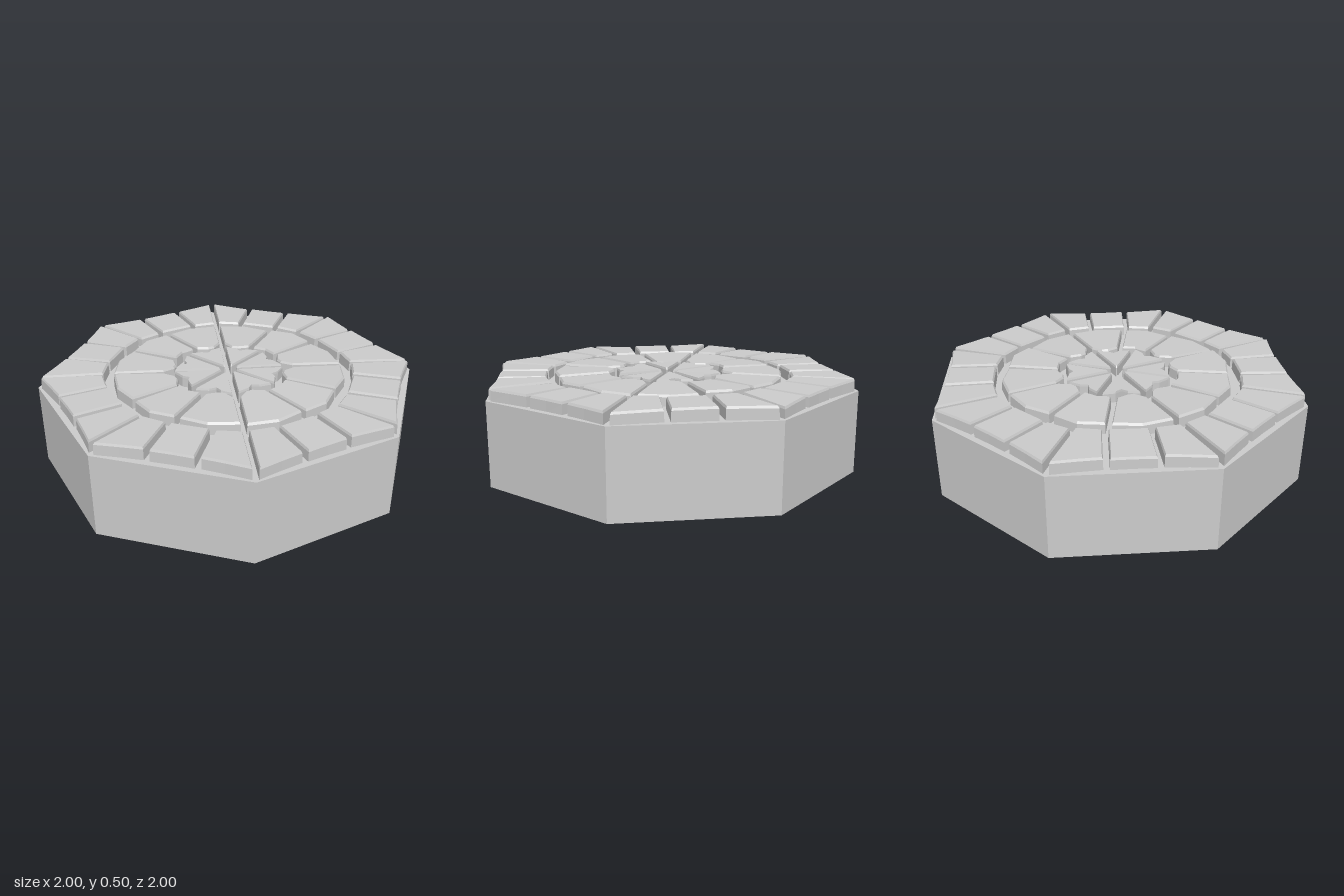
import * as THREE from 'three';

const PLATE_Y = 0.43, GAP = 0.014;
const rad = THREE.MathUtils.degToRad;
const material = new THREE.MeshStandardMaterial({ color: 0xcccccc, flatShading: true, side: THREE.DoubleSide });

// Small seeded generator for the uneven lie of the stones
let seed = 7;
const random = () => (seed = (seed * 16807) % 2147483647) / 2147483647;

// Outline of one stone from [degrees, radius] points along its outer and inner edge.
// The end points move in by half a joint, so joints keep an even width.
function outline(outer, inner, turn) {
  const edge = (pts) => pts.map(([deg, r], i) => {
    const side = i === 0 ? 1 : i === pts.length - 1 ? -1 : 0;
    const a = rad(deg + turn) + side * Math.asin(GAP / r);
    return new THREE.Vector2(r * Math.cos(a), r * Math.sin(a));
  });
  return [...edge(outer), ...edge(inner).reverse()];
}

// Hollow stone: upright sides, a narrow bevel and a slightly tilted top
function stoneGeometry(pts) {
  const c = pts.reduce((s, p) => s.add(p), new THREE.Vector2()).divideScalar(pts.length);
  const tiltX = (random() - 0.5) * 0.05, tiltZ = (random() - 0.5) * 0.05;
  const lift = (random() - 0.5) * 0.006;
  const layers = [[PLATE_Y, 0, 0], [0.479, 0.012, 1], [0.49, 0.06, 1]];
  const pos = [], idx = [], n = pts.length;
  for (const [y, inset, tilt] of layers) {
    for (const p of pts) {
      const q = p.clone().lerp(c, inset);
      const dy = tilt * (lift + (q.x - c.x) * tiltX + (q.y - c.y) * tiltZ);
      pos.push(q.x, y + dy, -q.y);
    }
  }
  for (let l = 0; l < layers.length - 1; l++) {
    for (let i = 0; i < n; i++) {
      const a = l * n + i, b = l * n + (i + 1) % n;
      idx.push(a, b, b + n, a, b + n, a + n);
    }
  }
  const top = (layers.length - 1) * n;
  for (const f of THREE.ShapeUtils.triangulateShape(pts, [])) idx.push(...f.map((i) => i + top));
  const g = new THREE.BufferGeometry();
  g.setAttribute('position', new THREE.Float32BufferAttribute(pos, 3));
  g.setIndex(idx);
  const flat = g.toNonIndexed();
  flat.computeVertexNormals();
  return flat;
}

// Each ring: a few stone types, repeated at every step of the turn
const rings = [
  {
    name: 'outerStone', step: 45, stones: [
      { outer: [[0, 0.98], [7.5, 0.93], [15, 0.9]], inner: [[0, 0.66], [13, 0.65]] },
      { outer: [[15, 0.9], [22.5, 0.892], [30, 0.9]], inner: [[13, 0.65], [32, 0.65]] },
      { outer: [[30, 0.9], [37.5, 0.93], [45, 0.98]], inner: [[32, 0.65], [45, 0.66]] },
    ],
  },
  {
    name: 'middleStone', step: 90, stones: [
      { outer: [[-14, 0.588], [0, 0.61], [14, 0.588]], inner: [[-15, 0.318], [0, 0.328], [15, 0.318]] },
      { outer: [[14, 0.588], [29, 0.612], [45, 0.608]], inner: [[15, 0.318], [28, 0.285], [35, 0.29], [45, 0.345]] },
      { outer: [[45, 0.608], [61, 0.612], [76, 0.588]], inner: [[45, 0.345], [55, 0.29], [62, 0.285], [75, 0.318]] },
    ],
  },
  {
    name: 'centreStone', step: 45, stones: [
      { outer: [[0, 0.288], [16, 0.262], [23, 0.235], [30, 0.262], [45, 0.288]], inner: [[0, 0.045], [45, 0.045]] },
    ],
  },
];

export function createModel() {
  seed = 7;
  const model = new THREE.Group();
  const add = (geometry, name, parent = model) => {
    const mesh = new THREE.Mesh(geometry, material);
    mesh.name = name;
    parent.add(mesh);
  };

  // Octagonal wall, open below
  const wall = new THREE.CylinderGeometry(1, 1, PLATE_Y, 8, 1, true);
  add(wall.translate(0, PLATE_Y / 2, 0), 'wall');

  // Paving plate with an opening under every stone
  const plate = new THREE.Shape(Array.from({ length: 8 }, (_, i) =>
    new THREE.Vector2(Math.cos(rad(i * 45)), Math.sin(rad(i * 45)))));

  // Three rings of stones
  for (const { name, step, stones } of rings) {
    const ring = new THREE.Group();
    ring.name = name + 'Ring';
    model.add(ring);
    for (let turn = 0; turn < 360; turn += step) {
      for (const { outer, inner } of stones) {
        const pts = outline(outer, inner, turn);
        plate.holes.push(new THREE.Path(pts));
        add(stoneGeometry(pts), name, ring);
      }
    }
  }

  const plateGeometry = new THREE.ShapeGeometry(plate);
  add(plateGeometry.rotateX(-Math.PI / 2).translate(0, PLATE_Y, 0), 'jointPlate');
  return model;
}
